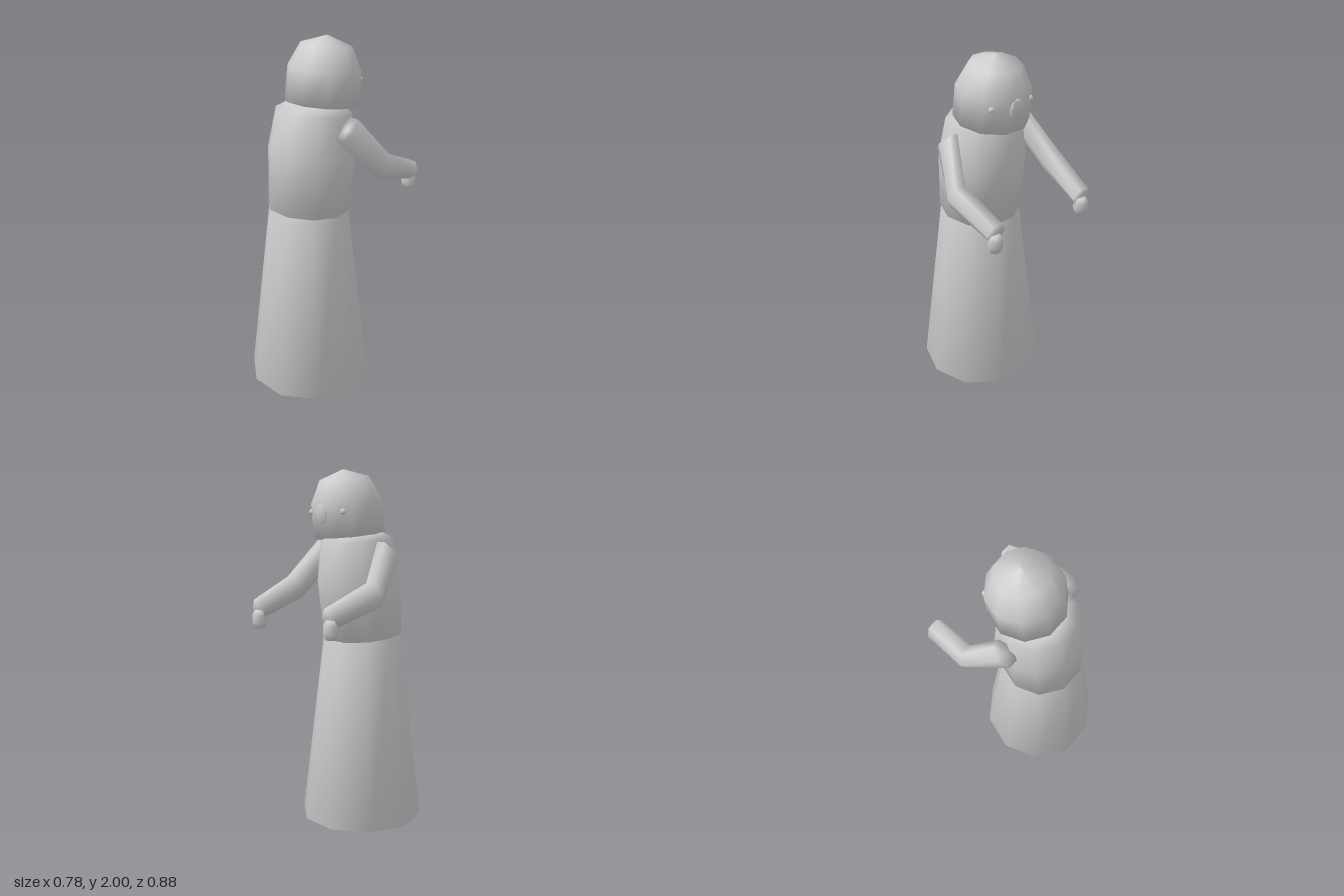
import * as THREE from 'three';

// Closed smooth skin over rings of { c: centre, u, v: half axes }
function loft(rings, sides) {
  const pos = [], index = [];
  for (const { c, u, v } of rings) {
    for (let i = 0; i < sides; i++) {
      const a = (i / sides) * Math.PI * 2, cos = Math.cos(a), sin = Math.sin(a);
      pos.push(c[0] + u[0] * cos + v[0] * sin, c[1] + u[1] * cos + v[1] * sin, c[2] + u[2] * cos + v[2] * sin);
    }
  }
  const last = (rings.length - 1) * sides, bottom = rings.length * sides, top = bottom + 1;
  pos.push(...rings[0].c, ...rings[rings.length - 1].c);
  for (let i = 0; i < sides; i++) {
    const n = (i + 1) % sides;
    for (let r = 0; r < last; r += sides) {
      index.push(r + i, r + sides + i, r + n, r + n, r + sides + i, r + sides + n);
    }
    index.push(bottom, i, n, top, last + n, last + i);
  }
  const g = new THREE.BufferGeometry();
  g.setAttribute('position', new THREE.Float32BufferAttribute(pos, 3));
  g.setIndex(index);
  g.computeVertexNormals();
  return g;
}

// Upright turned form from [radius, height] pairs
const turned = (profile, sides) =>
  loft(profile.map(([r, y]) => ({ c: [0, y, 0], u: [r, 0, 0], v: [0, 0, r] })), sides);

export function createModel() {
  const model = new THREE.Group();
  const stone = new THREE.MeshStandardMaterial({ color: 0xcccccc });
  stone.name = 'paleGrey';

  const add = (name, geometry, x, y, z, tilt = 0) => {
    const mesh = new THREE.Mesh(geometry, stone);
    mesh.name = name;
    mesh.position.set(x, y, z);
    mesh.rotation.x = tilt;
    model.add(mesh);
    return mesh;
  };

  // Long flared skirt
  add('skirt', turned([[0.355, 0], [0.226, 1.06]], 10), 0, 0, 0.105);

  // Torso leaning forward (towards -z), rounded at the shoulders
  add('torso', turned([[0.229, 0], [0.242, 0.325], [0.208, 0.55], [0.14, 0.59]], 10), 0, 1.07, 0.107, -0.085);

  // Domed head, tilted a little further
  add('head', turned([[0.204, 0], [0.2, 0.18], [0.139, 0.305], [0.004, 0.352]], 10), 0, 1.65, 0.003, -0.12);

  // Low nose on the front of the face
  const nose = add('nose', new THREE.SphereGeometry(1, 6, 4), 0, 1.755, -0.198, -0.12);
  nose.scale.set(0.06, 0.06, 0.017);

  for (const [side, s] of [['left', 1], ['right', -1]]) {
    // Small eye bump
    const eye = add(side + 'Eye', new THREE.SphereGeometry(0.02, 6, 4), s * 0.128, 1.77, -0.158);
    eye.scale.set(1, 0.8, 0.8);

    // Bent sleeve: shoulder, elbow, wrist
    const sleeve = [
      { c: [s * 0.247, 1.56, 0.062], u: [0.052, 0, 0], v: [0, 0.058, -0.064] },
      { c: [s * 0.329, 1.338, -0.127], u: [0.062, 0, 0], v: [0, 0.072, -0.029] },
      { c: [s * 0.3, 1.237, -0.406], u: [0.061, 0, 0], v: [0, 0.055, -0.015] },
    ];
    add(side + 'Arm', loft(sleeve, 6), 0, 0, 0);

    // Small fist hanging under the cuff
    add(side + 'Hand', turned([[0.028, 0], [0.042, 0.03], [0.042, 0.075], [0.03, 0.1]], 6), s * 0.303, 1.127, -0.4);
  }
  return model;
}
